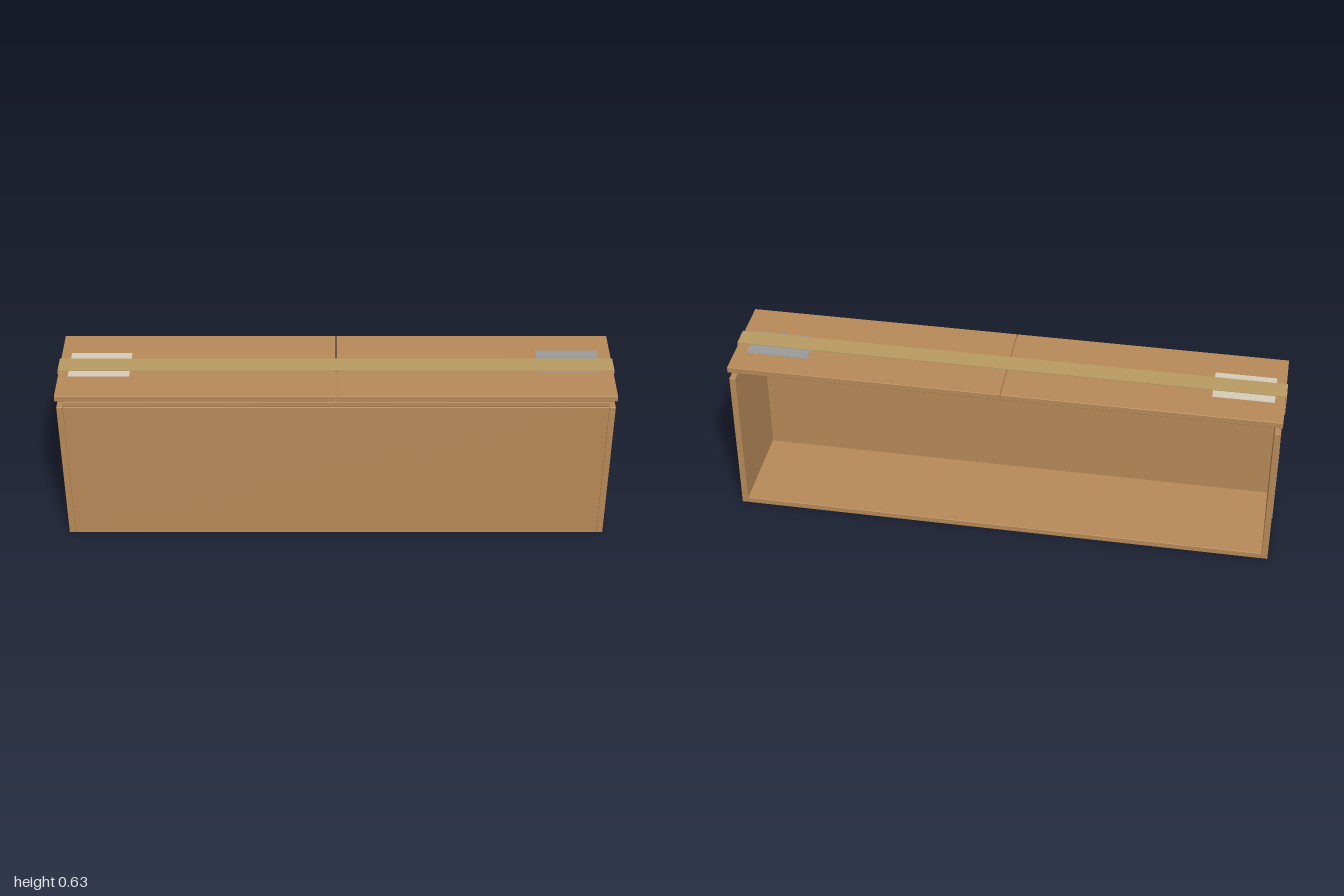
import * as THREE from 'three';
import { RoundedBoxGeometry } from 'three/addons/geometries/RoundedBoxGeometry.js';

const cardboard = new THREE.MeshStandardMaterial({ color: 0xb88a58 });
const tapeMat = new THREE.MeshStandardMaterial({ color: 0xba9c64 });
const paper = new THREE.MeshStandardMaterial({ color: 0xd6cdbb });
const greyLabel = new THREE.MeshStandardMaterial({ color: 0x9b9b9b });

export function createModel() {
  const group = new THREE.Group();

  // Panel spanning the given [min, max] ranges; bevel = 0 gives sharp edges
  function panel(name, mat, [x0, x1], [y0, y1], [z0, z1], bevel = 0) {
    const size = [x1 - x0, y1 - y0, z1 - z0];
    const geo = bevel
      ? new RoundedBoxGeometry(...size, 2, bevel)
      : new THREE.BoxGeometry(...size);
    const mesh = new THREE.Mesh(geo, mat);
    mesh.name = name;
    mesh.position.set((x0 + x1) / 2, (y0 + y1) / 2, (z0 + z1) / 2);
    group.add(mesh);
  }

  const W = 0.992, H = 0.578, D = 0.19, T = 0.023, B = 0.002;
  const mirrored = (s, a, b) => (s > 0 ? [a, b] : [-b, -a]);

  // Open-backed carton: floor, front wall and inner front flap
  panel('floor', cardboard, [-W + T, W - T], [0, T], [-D, D - T], B);
  panel('frontWall', cardboard, [-W + T, W - T], [0, H], [D - T, D], B);
  panel('innerFlap', cardboard, [-0.967, 0.967], [0.58, 0.602], [0.005, D], B);

  for (const s of [1, -1]) {
    const side = s > 0 ? 'left' : 'right';
    // End wall with its label, and half of the lid
    panel(side + 'EndWall', cardboard, mirrored(s, W - T, W), [0, H], [-D, D], B);
    panel(side + 'EndLabel', greyLabel, mirrored(s, W, W + 0.002), [0.157, 0.445], [-0.145, 0.145]);
    panel(side + 'LidFlap', cardboard, mirrored(s, 0.001, 0.996), [0.604, 0.627], [-D, D], B);
    // Tape folded down over the end
    panel(side + 'TapeEnd', tapeMat, mirrored(s, 0.997, 1), [0.55, 0.631], [-0.038, 0.038]);
  }

  // Labels on the lid, partly covered by the sealing tape
  panel('paperLabel', paper, [-0.96, -0.74], [0.627, 0.6285], [-0.076, 0.07]);
  panel('greyLidLabel', greyLabel, [0.725, 0.95], [0.627, 0.6285], [-0.09, 0.045]);
  panel('sealingTape', tapeMat, [-0.997, 0.997], [0.627, 0.631], [-0.038, 0.038]);

  return group;
}
